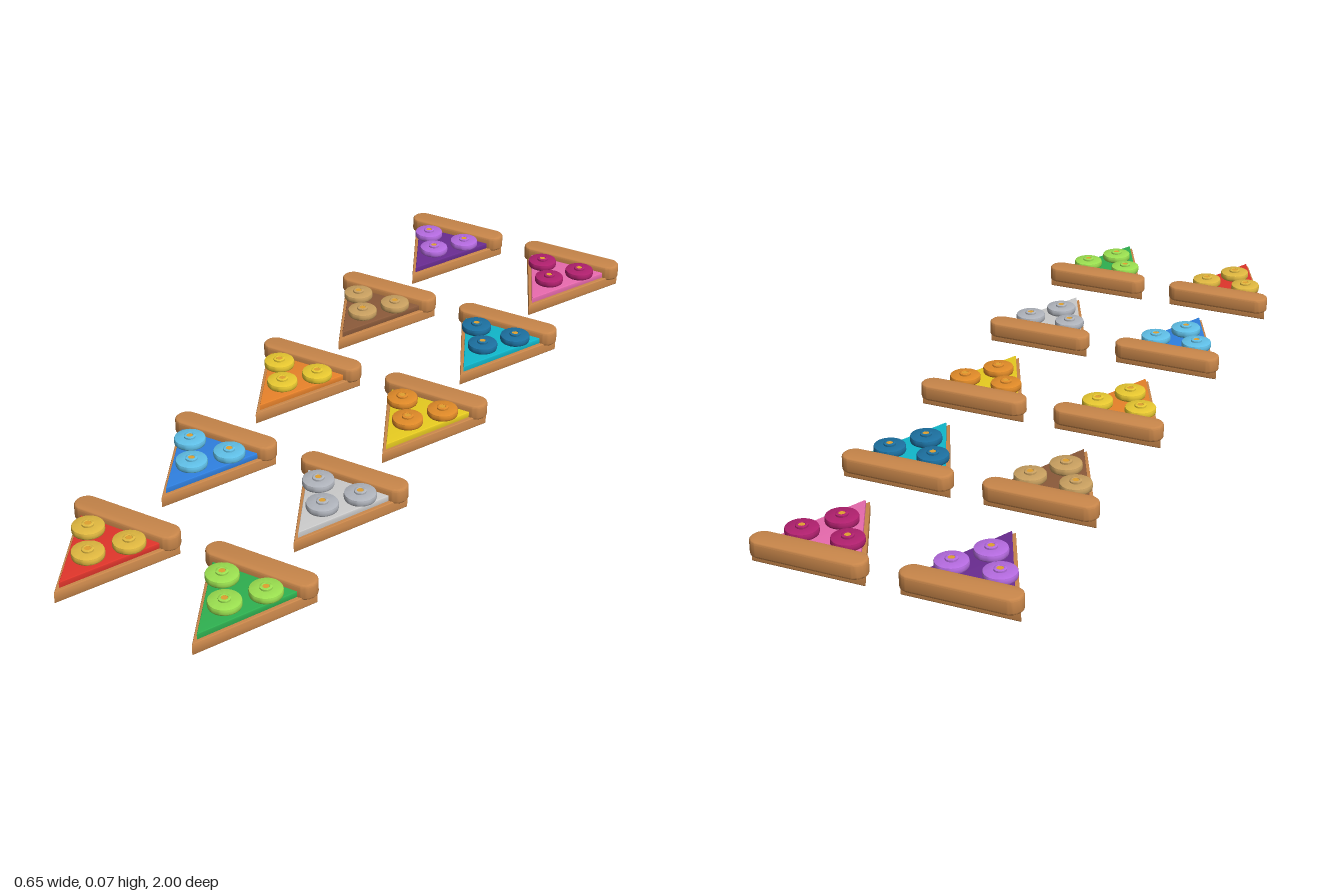
import * as THREE from 'three';
import { toCreasedNormals } from 'three/addons/utils/BufferGeometryUtils.js';

// Plan outline (x, z) extruded upwards from y0 with softly bevelled edges
function slab(shape, y0, height, bevel) {
  const g = new THREE.ExtrudeGeometry(shape, {
    depth: height - 2 * bevel, bevelEnabled: true, bevelSize: bevel, bevelThickness: bevel,
    bevelOffset: -bevel, bevelSegments: 3, curveSegments: 12,
  });
  g.rotateX(Math.PI / 2).translate(0, y0 + height - bevel, 0);
  return toCreasedNormals(g, 0.6);
}

// Triangle pointing to +z
function wedge(halfWidth, back, tip) {
  return new THREE.Shape([
    new THREE.Vector2(-halfWidth, back),
    new THREE.Vector2(halfWidth, back),
    new THREE.Vector2(0, tip),
  ]);
}

// Bar with round ends
function stadium(halfWidth, back, front) {
  const r = (front - back) / 2, mid = (front + back) / 2, s = new THREE.Shape();
  s.absarc(halfWidth - r, mid, r, -Math.PI / 2, Math.PI / 2, false);
  s.absarc(-halfWidth + r, mid, r, Math.PI / 2, Math.PI * 1.5, false);
  return s;
}

// Round topping with a raised ring in the middle
function toppingGeometry() {
  const profile = [
    [0, 0], [0.035, 0], [0.038, 0.002], [0.039, 0.005], [0.039, 0.014], [0.038, 0.017], [0.035, 0.0185],
    [0.0145, 0.0185], [0.0145, 0.023], [0.0125, 0.0245], [0.009, 0.0245], [0.008, 0.0235], [0.008, 0.0185], [0, 0.0185],
  ].map(([x, y]) => new THREE.Vector2(x, y));
  return toCreasedNormals(new THREE.LatheGeometry(profile, 32), 0.7);
}

// [sauce, topping] colours, left column then right column, front row first
const ROWS = [
  [[0xe0352b, 0xe0b840], [0x2fb050, 0x9be050]],
  [[0x2f80e0, 0x60c0e8], [0xdcdcd8, 0xb0b4bc]],
  [[0xe8822a, 0xe8c830], [0xe8cc20, 0xe08a28]],
  [[0x8b5a3a, 0xc9a060], [0x10b8cc, 0x1c70a0]],
  [[0x6a2c91, 0xb56be0], [0xe86aae, 0xb0206e]],
];

export function createModel() {
  const root = new THREE.Group();
  root.name = 'pizzaSlices';
  const paint = (color) => new THREE.MeshStandardMaterial({ color });
  const dough = paint(0xc8864a), gold = paint(0xe0a030);

  const baseGeo = slab(wedge(0.14, -0.29, 0), 0, 0.03, 0.003);
  const sauceGeo = slab(wedge(0.115, -0.262, -0.02), 0.028, 0.017, 0.002);
  const crustGeo = slab(stadium(0.143, -0.313, -0.252), 0.0225, 0.04, 0.006);
  const discGeo = toppingGeometry();
  const dotGeo = new THREE.CylinderGeometry(0.008, 0.008, 0.005, 16);

  function add(parent, name, geometry, material, x = 0, y = 0, z = 0) {
    const mesh = new THREE.Mesh(geometry, material);
    mesh.name = name;
    mesh.position.set(x, y, z);
    parent.add(mesh);
  }

  ROWS.forEach((row, r) => row.forEach(([sauce, topping], c) => {
    const slice = new THREE.Group();
    slice.name = 'slice';
    slice.position.set(c ? 0.182 : -0.182, 0, 1 - r * 0.42175);
    add(slice, 'base', baseGeo, dough);
    add(slice, 'sauce', sauceGeo, paint(sauce));
    add(slice, 'crust', crustGeo, dough);

    // Three toppings, two by the crust and one towards the tip
    const discMaterial = paint(topping);
    for (const [x, z] of [[-0.057, -0.21], [0.057, -0.21], [0, -0.131]]) {
      add(slice, 'topping', discGeo, discMaterial, x, 0.045, z);
      add(slice, 'toppingCentre', dotGeo, gold, x, 0.0655, z);
    }
    root.add(slice);
  }));
  return root;
}
